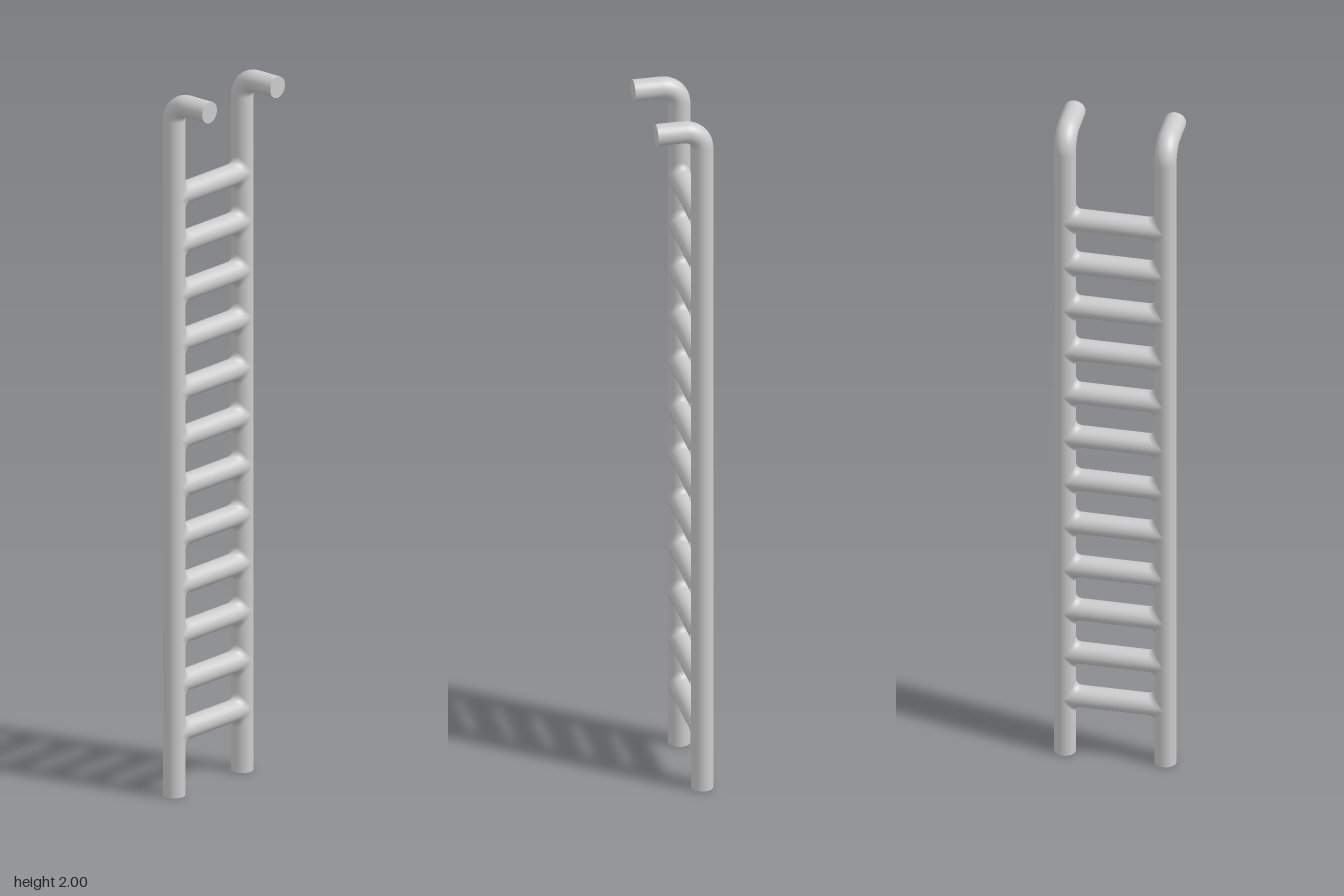
import * as THREE from 'three';
import { mergeVertices } from 'three/addons/utils/BufferGeometryUtils.js';

const RAIL_X = -0.049, RAIL_Z = 0.138, R = 0.03, TOP = 1.97, BEND = 0.05, END_X = 0.078;
const SIDES = 32;
const material = new THREE.MeshStandardMaterial({ color: 0xcccccc });

function add(group, name, geometry, x, y, z) {
  const mesh = new THREE.Mesh(geometry, material);
  mesh.name = name;
  mesh.position.set(x, y, z);
  group.add(mesh);
}

// Upright pole with a quarter bend into a short horizontal handle
function createRail(z) {
  const rail = new THREE.Group();
  const height = TOP - BEND, bendX = RAIL_X + BEND, reach = END_X - bendX;
  add(rail, 'pole', new THREE.CylinderGeometry(R, R, height, SIDES, 1, true), RAIL_X, height / 2, z);
  add(rail, 'poleFoot', new THREE.CircleGeometry(R, SIDES).rotateX(Math.PI / 2), RAIL_X, 0, z);
  add(rail, 'bend', new THREE.TorusGeometry(BEND, R, SIDES, 12, Math.PI / 2).rotateZ(Math.PI / 2), bendX, height, z);
  add(rail, 'handle', new THREE.CylinderGeometry(R, R, reach, SIDES, 1, true).rotateZ(Math.PI / 2), bendX + reach / 2, TOP, z);
  add(rail, 'handleEnd', new THREE.CircleGeometry(R, SIDES).rotateY(Math.PI / 2), END_X, TOP, z);
  return rail;
}

// Rung whose ends follow the round rails and flare into a small fillet above and below
function createRungGeometry() {
  const r = 0.031, fillet = 0.018, steps = 5, rows = 2 * steps + 1;
  const g = new THREE.CylinderGeometry(r, r, 1, SIDES, rows, true);
  const p = g.attributes.position;
  for (let i = 0; i < p.count; i++) {
    const x = p.getX(i), up = p.getZ(i) / r;
    const row = Math.round((p.getY(i) + 0.5) * rows);
    const side = row > steps ? 1 : -1;
    const a = (side > 0 ? row - steps - 1 : steps - row) / steps * Math.PI / 2;
    const railFace = RAIL_Z - Math.sqrt(Math.max(0, R * R - x * x));
    p.setY(i, side * (railFace - fillet * (1 - Math.sin(a))));
    p.setZ(i, up * (r - 0.001 + fillet * (1 - Math.cos(a))));
  }
  g.deleteAttribute('uv');
  g.deleteAttribute('normal');
  const merged = mergeVertices(g, 1e-5);
  merged.rotateX(Math.PI / 2);
  merged.computeVertexNormals();
  return merged;
}

export function createModel() {
  const ladder = new THREE.Group();
  ladder.name = 'ladder';

  for (const side of [1, -1]) {
    const rail = createRail(side * RAIL_Z);
    rail.name = side > 0 ? 'frontRail' : 'backRail';
    ladder.add(rail);
  }

  // Twelve evenly spaced rungs
  const rung = createRungGeometry();
  for (let i = 0; i < 12; i++) {
    add(ladder, 'rung' + (i + 1), rung, RAIL_X + 0.001, 0.178 + i * 0.1387, 0);
  }
  return ladder;
}
